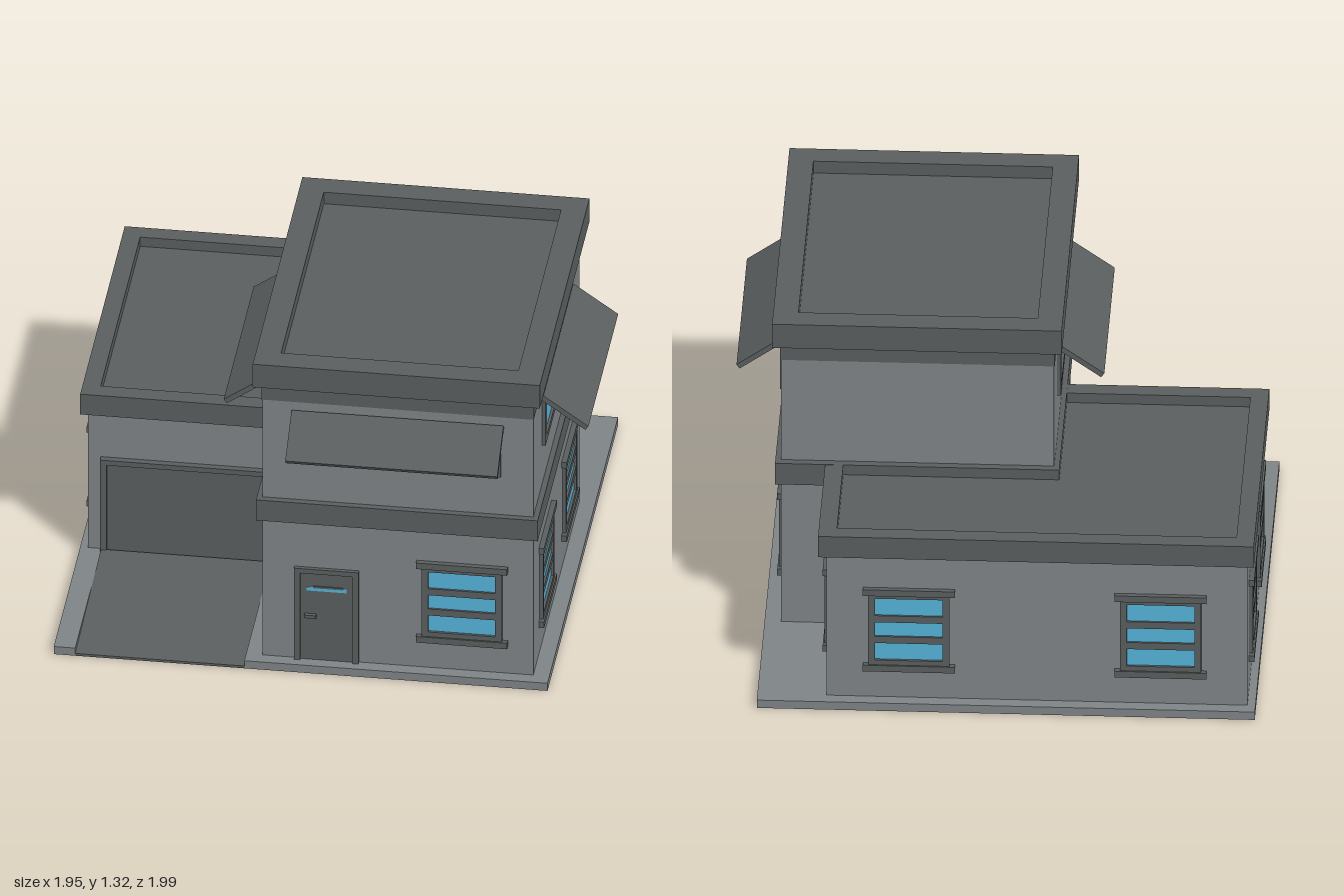
import * as THREE from 'three';

const mat = (name, color) => Object.assign(new THREE.MeshStandardMaterial({ color }), { name });

export function createModel() {
  const wall = mat('wall grey', 0x7e8386);
  const trim = mat('trim grey', 0x5a5e5e);
  const glass = mat('window blue', 0x55b2d8);
  const model = new THREE.Group();
  model.name = 'house';

  const add = (parent, name, geometry, material) => {
    const m = new THREE.Mesh(geometry, material);
    m.name = name;
    parent.add(m);
    return m;
  };
  // Box given by its limits
  const box = (parent, name, material, x0, x1, y0, y1, z0, z1) => {
    const m = add(parent, name, new THREE.BoxGeometry(x1 - x0, y1 - y0, z1 - z0), material);
    m.position.set((x0 + x1) / 2, (y0 + y1) / 2, (z0 + z1) / 2);
    return m;
  };
  const rect = (C, x0, x1, y0, y1) => new C([[x0, y0], [x1, y0], [x1, y1], [x0, y1]].map(p => new THREE.Vector2(...p)));
  const extrude = (shape, depth) => new THREE.ExtrudeGeometry(shape, { depth, bevelEnabled: false });
  // Upright rectangular frame, facing +z
  const frame = (parent, name, x0, x1, y0, y1, ix0, ix1, iy0, iy1, depth) => {
    const s = rect(THREE.Shape, x0, x1, y0, y1);
    s.holes.push(rect(THREE.Path, ix0, ix1, iy0, iy1));
    return add(parent, name, extrude(s, depth), trim);
  };
  // Flat roof with a raised parapet rim
  const roof = (name, x0, x1, z0, z1, y0, y1, floorY, rim) => {
    const g = new THREE.Group();
    g.name = name;
    const s = rect(THREE.Shape, x0, x1, -z1, -z0);
    s.holes.push(rect(THREE.Path, x0 + rim, x1 - rim, -z1 + rim, -z0 - rim));
    add(g, 'parapet', extrude(s, y1 - y0).rotateX(-Math.PI / 2), trim).position.y = y0;
    box(g, 'roofDeck', trim, x0 + rim, x1 - rim, y0, floorY, z0 + rim, z1 - rim);
    model.add(g);
  };

  // Base slab with a notch for the driveway
  const slab = new THREE.Shape([[-0.98, -0.87], [-0.9, -0.87], [-0.9, -0.21], [-0.27, -0.21],
    [-0.27, -0.87], [0.86, -0.87], [0.86, 1], [-0.98, 1]].map(p => new THREE.Vector2(...p)));
  add(model, 'baseSlab', extrude(slab, 0.033).rotateX(-Math.PI / 2), wall);
  const ramp = new THREE.Shape([[0.19, 0], [0.87, 0], [0.87, 0.01], [0.19, 0.043]].map(p => new THREE.Vector2(...p)));
  add(model, 'driveway', extrude(ramp, 0.63).rotateY(-Math.PI / 2), trim).position.x = -0.27;

  // Walls
  box(model, 'towerWalls', wall, -0.21, 0.8, 0.03, 1.145, -0.41, 0.82);
  box(model, 'towerBand', trim, -0.212, 0.802, 1.145, 1.22, -0.412, 0.822);
  box(model, 'wingWalls', wall, -0.95, 0.605, 0.03, 0.64, -0.95, 0.17);

  // Roofs and the cornice around the tower
  roof('towerRoof', -0.24, 0.83, -0.455, 0.86, 1.22, 1.32, 1.27, 0.093);
  roof('wingRoof', -0.975, 0.635, -0.975, 0.205, 0.632, 0.72, 0.68, 0.067);
  box(model, 'towerCornice', trim, -0.23, 0.82, 0.632, 0.721, -0.44, 0.845);

  // Place a wall fitting: local +z points out of the wall
  const place = (g, x, y, z, turn) => {
    g.position.set(x, y, z);
    g.rotation.y = turn;
    model.add(g);
  };
  const R = Math.PI / 2;

  // Barred windows with lintel and sill
  const barredWindow = () => {
    const g = new THREE.Group();
    g.name = 'barredWindow';
    frame(g, 'windowFrame', -0.15, 0.15, -0.15, 0.15, -0.125, 0.125, -0.13, 0.13, 0.014);
    box(g, 'windowPane', glass, -0.125, 0.125, -0.13, 0.13, -0.002, 0.004);
    for (const y of [-0.045, 0.043]) box(g, 'windowBar', trim, -0.125, 0.125, y - 0.014, y + 0.014, 0, 0.012);
    for (const y of [-0.163, 0.157]) box(g, 'sillOrLintel', trim, -0.17, 0.17, y - 0.013, y + 0.013, -0.005, 0.02);
    return g;
  };
  for (const [x, z, turn] of [[0.535, 0.82, 0], [0.8, 0.505, R], [0.8, -0.1, R], [0.605, -0.66, R],
    [0.3, -0.95, 2 * R], [-0.63, -0.95, 2 * R], [-0.95, -0.66, -R], [-0.95, -0.1, -R]])
    place(barredWindow(), x, 0.325, z, turn);

  // Long upper windows under sloping awnings
  const awningWindow = () => {
    const g = new THREE.Group();
    g.name = 'awningWindow';
    frame(g, 'windowFrame', -0.385, 0.385, -0.11, 0.085, -0.358, 0.358, -0.085, 0.06, 0.014);
    box(g, 'windowPane', glass, -0.358, 0.358, -0.085, 0.06, -0.002, 0.004);
    const a = add(g, 'awning', new THREE.BoxGeometry(0.79, 0.02, 0.205), trim);
    a.position.set(0, 0.045, 0.085);
    a.rotation.x = 0.615;
    return g;
  };
  for (const [x, z, turn] of [[0.295, 0.82, 0], [0.8, 0.205, R], [-0.21, 0.205, -R]])
    place(awningWindow(), x, 1, z, turn);

  // Front door
  const door = new THREE.Group();
  door.name = 'frontDoor';
  frame(door, 'doorFrame', -0.12, 0.12, 0.03, 0.43, -0.097, 0.097, 0.032, 0.41, 0.015);
  box(door, 'doorLeaf', trim, -0.097, 0.097, 0.032, 0.41, -0.002, 0.005);
  box(door, 'doorPane', glass, -0.075, 0.075, 0.332, 0.348, 0.004, 0.007);
  box(door, 'paneRail', trim, -0.05, 0.06, 0.345, 0.353, 0.004, 0.009);
  box(door, 'doorHandle', trim, -0.082, -0.038, 0.219, 0.232, 0.004, 0.02);
  place(door, 0.03, 0, 0.82, 0);

  // Garage door
  const garage = new THREE.Group();
  garage.name = 'garageDoor';
  frame(garage, 'garageFrame', -0.32, 0.32, 0.03, 0.433, -0.296, 0.296, 0.031, 0.412, 0.025);
  box(garage, 'garagePanel', trim, -0.296, 0.296, 0.031, 0.412, -0.002, 0.006);
  place(garage, -0.583, 0, 0.17, 0);

  return model;
}
